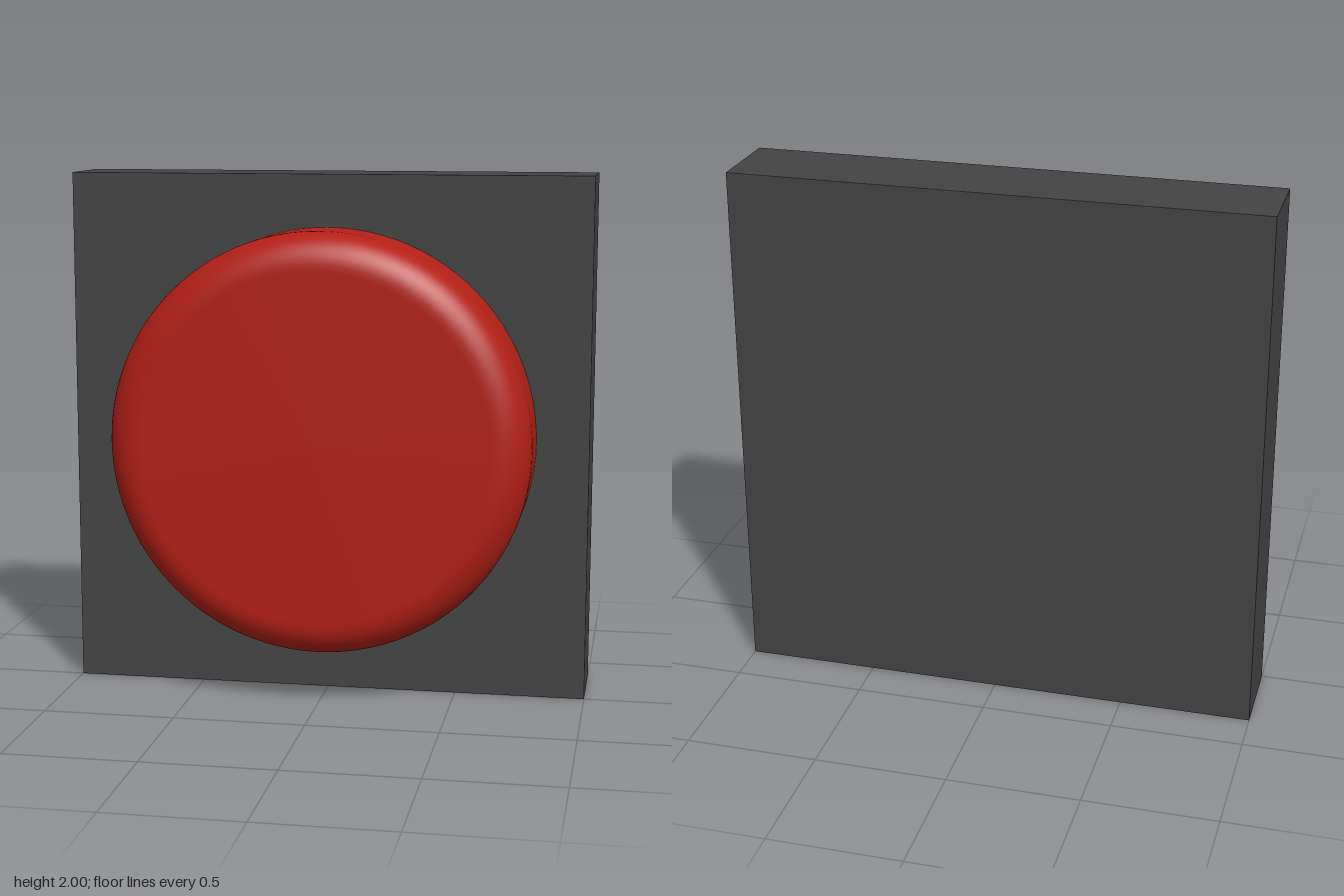
import * as THREE from 'three';

export function createModel() {
  const group = new THREE.Group();
  const depth = 0.33;

  // Square backing plate, front face at z = 0
  const plate = new THREE.Mesh(
    new THREE.BoxGeometry(2, 2, depth),
    new THREE.MeshStandardMaterial({ color: 0x444444 })
  );
  plate.name = 'basePlate';
  plate.position.set(0, 1, -depth / 2);
  group.add(plate);

  // Round push button: straight wall, rounded rim, flat cap
  const radius = 0.8, fillet = 0.13, steps = 12;
  const profile = [new THREE.Vector2(radius, 0), new THREE.Vector2(radius, depth - fillet - 0.01)];
  for (let i = 0; i <= steps; i++) {
    const a = (i / steps) * Math.PI / 2;
    profile.push(new THREE.Vector2(
      radius - fillet + fillet * Math.cos(a),
      depth - fillet + fillet * Math.sin(a)
    ));
  }
  profile.push(new THREE.Vector2(radius - fillet - 0.01, depth), new THREE.Vector2(0, depth));

  const button = new THREE.Mesh(
    new THREE.LatheGeometry(profile, 96),
    new THREE.MeshStandardMaterial({ color: 0xb32017 })
  );
  button.name = 'button';
  button.rotation.x = Math.PI / 2;
  button.position.y = 1;
  group.add(button);

  return group;
}
